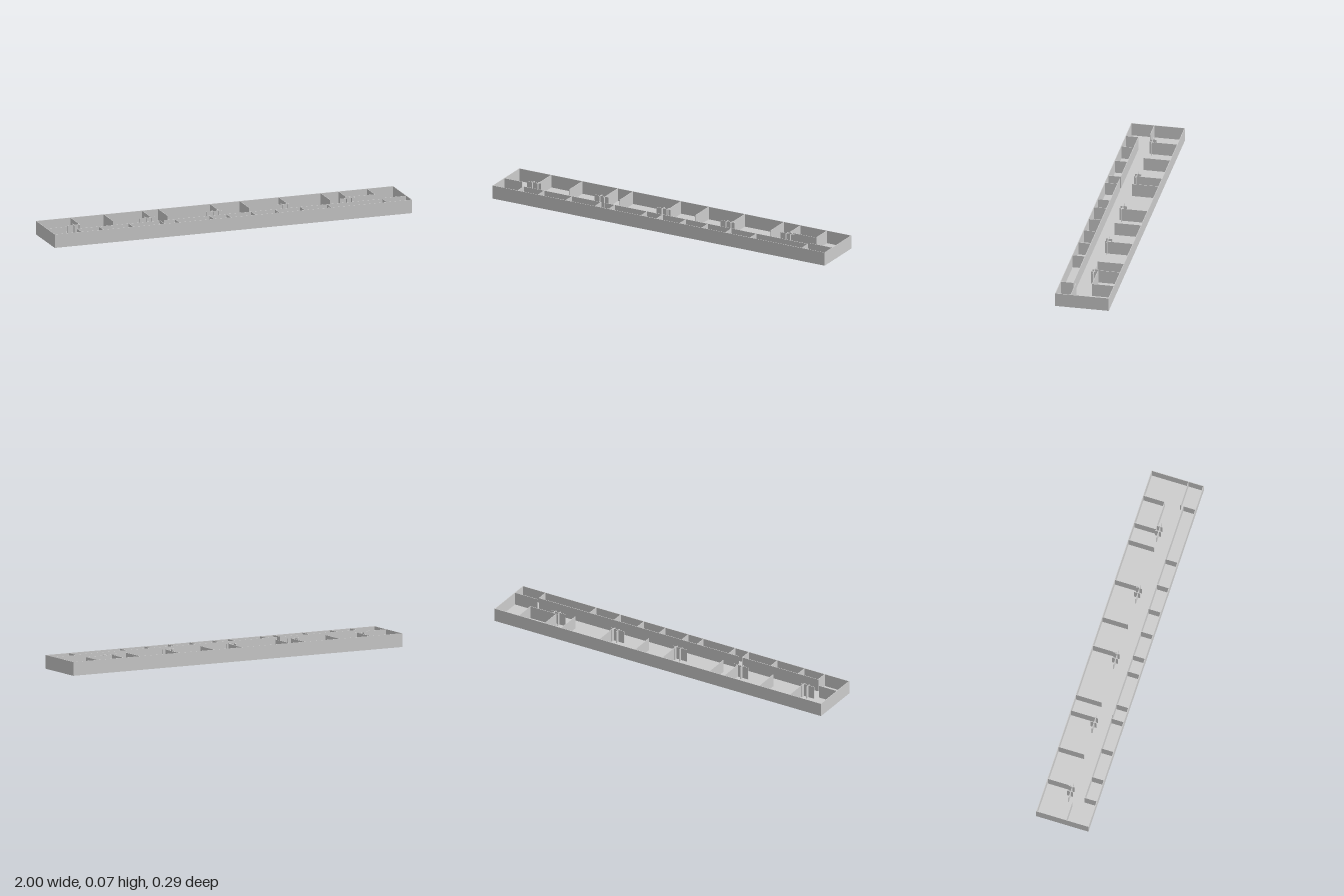
import * as THREE from 'three';

const H = 0.073, Z = 0.144, T = 0.003, FLOOR = 0.003;

export function createModel() {
  const model = new THREE.Group();
  model.name = 'floorPlan';
  const mat = new THREE.MeshStandardMaterial({ color: 0xcccccc, flatShading: true });

  const box = (name, x0, x1, y0, y1, z0, z1) => {
    const mesh = new THREE.Mesh(new THREE.BoxGeometry(x1 - x0, y1 - y0, z1 - z0), mat);
    mesh.position.set((x0 + x1) / 2, (y0 + y1) / 2, (z0 + z1) / 2);
    mesh.name = name;
    model.add(mesh);
  };
  // Thin upright walls running along x or along z
  const wallX = (name, x0, x1, z) => box(name, x0, x1, FLOOR, H, z - T / 2, z + T / 2);
  const wallZ = (name, x, z0, z1) => box(name, x - T / 2, x + T / 2, FLOOR, H, z0, z1);

  // Floor slab and outer shell
  box('floor', -1, 1, 0, FLOOR, -Z, Z);
  for (const s of [-1, 1]) {
    wallX(s > 0 ? 'frontWall' : 'backWall', -1, 1, s * (Z - T / 2));
    wallZ(s > 0 ? 'leftEndWall' : 'rightEndWall', s * (1 - T / 2), -Z + T, Z - T);
  }

  // Row of small rooms along the front
  const frontZ = 0.075;
  wallX('corridorWall', -0.85, -0.39, frontZ);
  wallX('corridorWall', -0.365, 0.86, frontZ);
  for (const x of [-0.85, -0.727, -0.56, -0.385, -0.302, -0.108, -0.014, 0.125, 0.258, 0.4, 0.55, 0.86])
    wallZ('frontRoomPartition', x, frontZ, Z - T);

  // Large bays along the back
  for (const x of [-0.807, -0.62, -0.406, -0.315, -0.026, 0.141, 0.359, 0.594])
    wallZ('backBayPartition', x, -Z + T, 0);

  // Closed room near the left end
  const roomZ = -0.025;
  wallZ('closedRoomSide', 0.694, -Z + T, roomZ);
  wallZ('closedRoomSide', 0.853, -Z + T, roomZ);
  wallX('closedRoomFront', 0.694, 0.853, roomZ);

  // Short walls at the two ends of the corridor
  wallX('leftLobbyWall', 0.86, 1 - T, 0.06);
  wallX('rightLobbyWall', -1 + T, -0.89, 0.02);

  // Paired door posts with a short return wall at regular bays
  for (const x of [-0.825, -0.42, -0.045, 0.34, 0.7]) {
    for (const s of [-1, 1]) wallZ('doorPost', x + s * 0.014, -0.025, 0.008);
    wallX('returnWall', x - 0.05, x + 0.035, -0.005);
  }
  return model;
}
